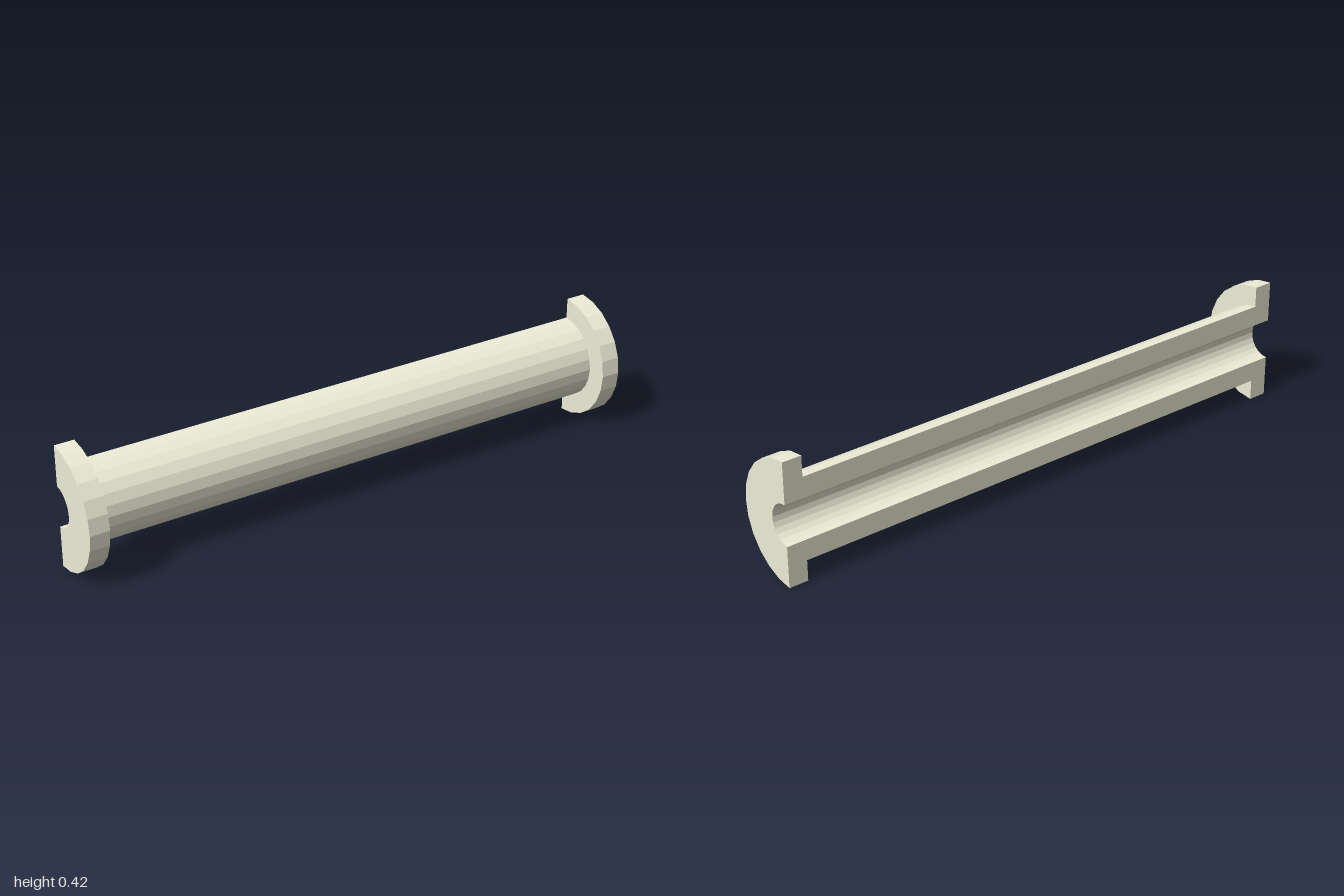
import * as THREE from 'three';

const FLANGE_R = 0.2115, TUBE_R = 0.141, BORE_R = 0.0705;
const END = 1, FLANGE_IN = 0.933; // flange occupies FLANGE_IN..END along x

export function createModel() {
  const model = new THREE.Group();
  model.name = 'halfSpool';
  const material = new THREE.MeshStandardMaterial({ color: 0xeeeed8, flatShading: true });

  // Closed wall section: (radius, position along the axis)
  const section = [
    [BORE_R, -END], [FLANGE_R, -END], [FLANGE_R, -FLANGE_IN], [TUBE_R, -FLANGE_IN],
    [TUBE_R, FLANGE_IN], [FLANGE_R, FLANGE_IN], [FLANGE_R, END], [BORE_R, END],
  ].map(([r, a]) => new THREE.Vector2(r, a));

  const add = (name, geometry) => {
    const mesh = new THREE.Mesh(geometry, material);
    mesh.name = name;
    model.add(mesh);
  };

  // Tube, both flanges and bore: half a revolution bulging to the front
  const shell = new THREE.LatheGeometry([...section, section[0].clone()], 12, -Math.PI / 2, Math.PI);
  shell.rotateZ(-Math.PI / 2);
  add('flangedHalfTube', shell);

  // Flat cut faces at the back, above and below the bore
  const cut = new THREE.Shape(section.map((p) => new THREE.Vector2(p.y, p.x)));
  add('upperCutFace', new THREE.ShapeGeometry(cut).rotateY(Math.PI));
  add('lowerCutFace', new THREE.ShapeGeometry(cut).rotateX(Math.PI));

  // Rest on the ground, centred in depth
  for (const mesh of model.children) mesh.position.set(0, FLANGE_R, -FLANGE_R / 2);
  return model;
}
